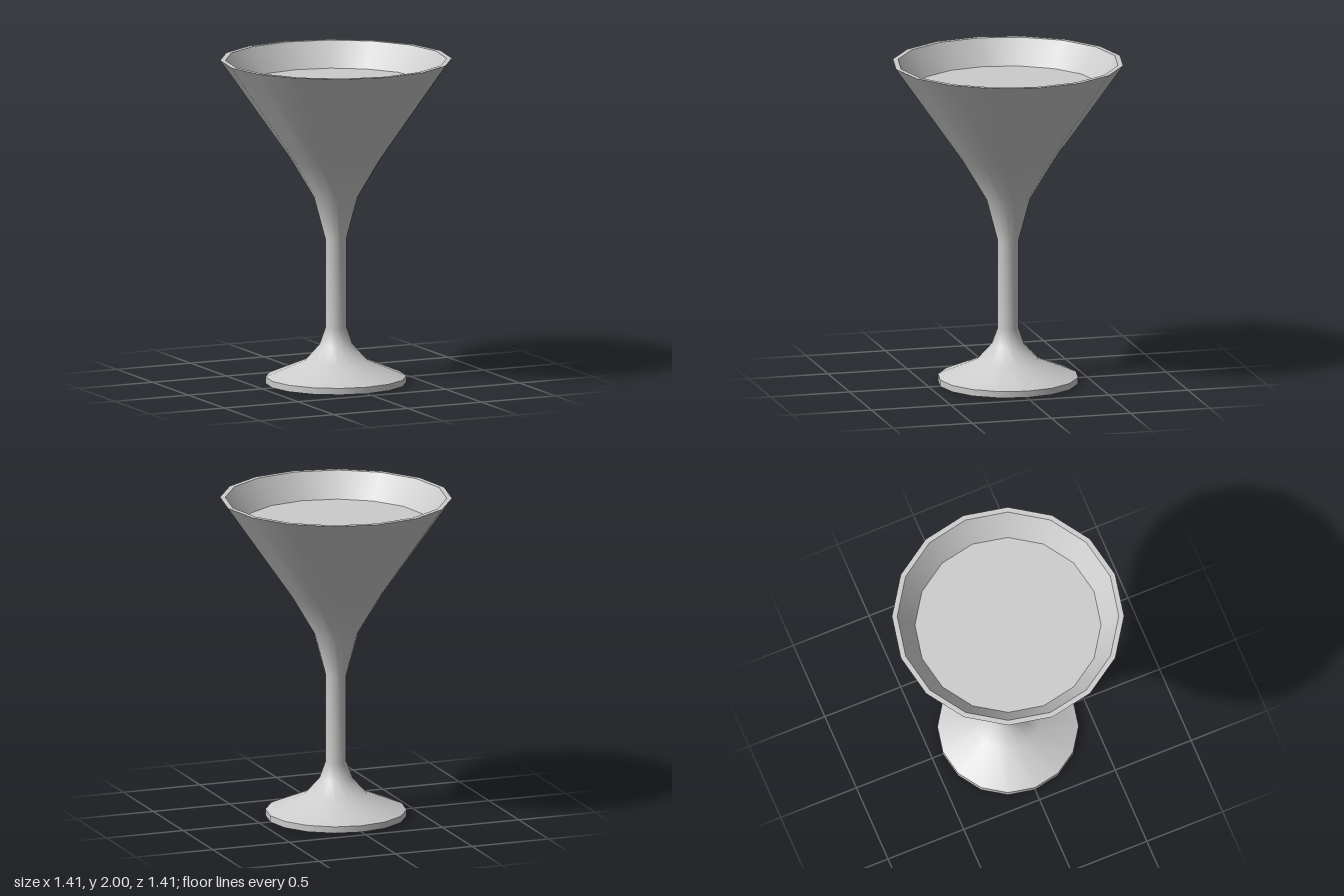
import * as THREE from 'three';

const SIDES = 16;

export function createModel() {
  const model = new THREE.Group();
  const material = new THREE.MeshStandardMaterial({ color: 0xcccccc });

  // Each part is a turned profile of [radius, height]; separate parts keep creases sharp.
  function turned(name, profile) {
    const points = profile.map(([r, y]) => new THREE.Vector2(r, y));
    const mesh = new THREE.Mesh(new THREE.LatheGeometry(points, SIDES), material);
    mesh.name = name;
    model.add(mesh);
  }

  // Foot disc
  turned('footUnderside', [[0, 0], [0.43, 0]]);
  turned('footEdge', [[0.43, 0], [0.43, 0.04]]);

  // Foot slope, stem and outer bowl in one smooth sweep
  turned('stemAndBowl', [
    [0.43, 0.04], [0.19, 0.14], [0.1, 0.24], [0.065, 0.34],
    [0.065, 0.89], [0.135, 1.15], [0.285, 1.4], [0.707, 2],
  ]);

  // Rim and inner wall
  turned('rim', [[0.707, 2], [0.675, 2]]);
  turned('bowlInside', [[0.675, 2], [0.567, 1.845], [0.255, 1.4], [0.1, 1.15], [0, 1.12]]);

  // Flat drink surface
  turned('drink', [[0.567, 1.845], [0, 1.845]]);

  return model;
}
